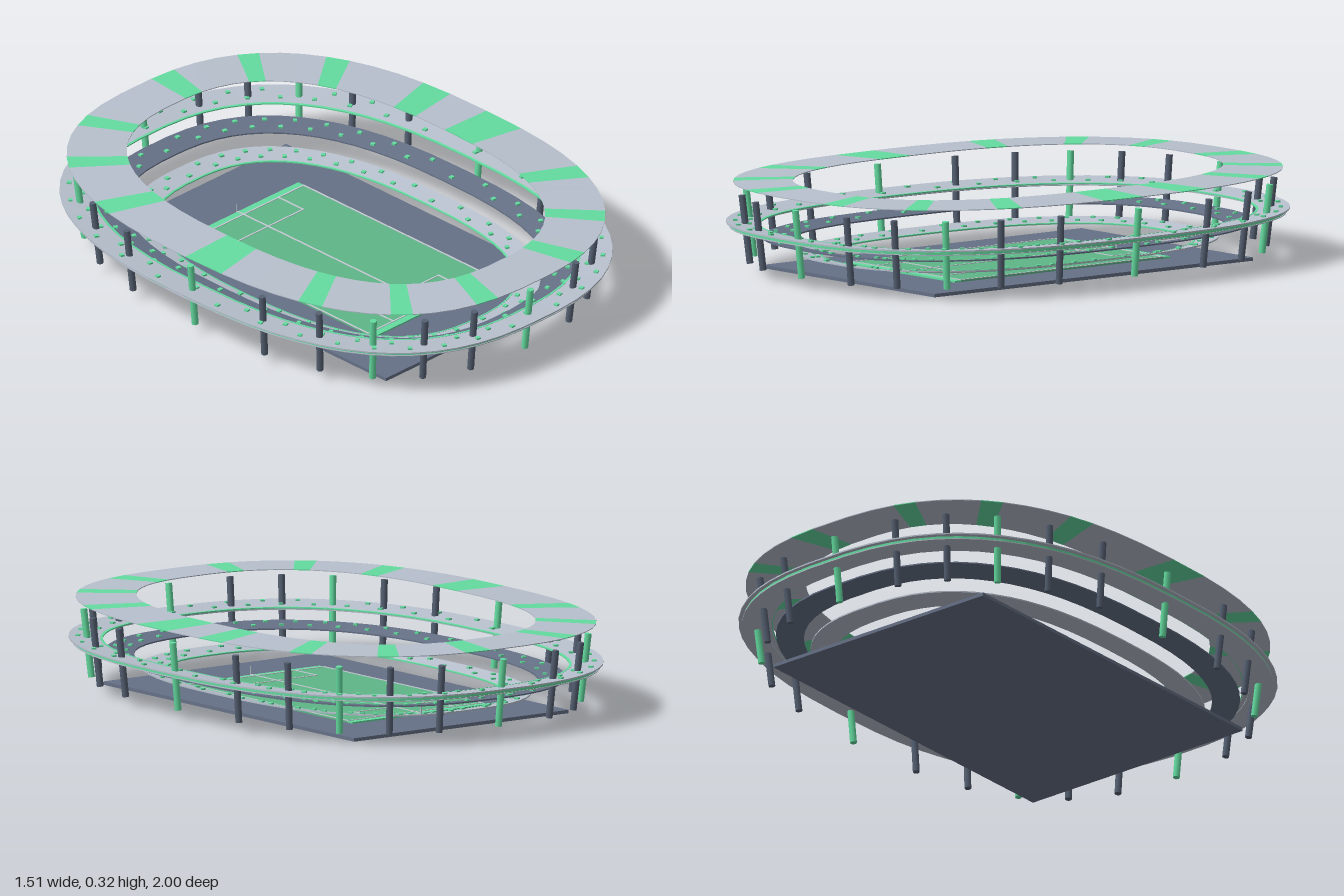
import * as THREE from 'three';

const mat = (name, color) => {
  const m = new THREE.MeshStandardMaterial({ color });
  m.name = name;
  return m;
};

// Point on a rounded oval with half-axes a (x) and b (z)
const oval = (a, b, y, t) => {
  const p = (v) => (Math.abs(v) < 1e-9 ? 0 : Math.sign(v) * Math.abs(v) ** 0.78);
  return new THREE.Vector3(a * p(Math.cos(t)), y, b * p(Math.sin(t)));
};

const SEGMENTS = 58;

// Sweeps a closed section of [a, b, y] points round the oval, keeping chosen segments
function ringGeometry(section, keep = () => true) {
  const pos = [];
  for (let i = 0; i < SEGMENTS; i++) {
    if (!keep(i)) continue;
    const t0 = (i / SEGMENTS) * Math.PI * 2;
    const t1 = ((i + 1) / SEGMENTS) * Math.PI * 2;
    section.forEach((p, j) => {
      const q = section[(j + 1) % section.length];
      const A = oval(...p, t0), B = oval(...q, t0), C = oval(...q, t1), D = oval(...p, t1);
      for (const v of [A, D, C, A, C, B]) pos.push(v.x, v.y, v.z);
    });
  }
  const g = new THREE.BufferGeometry();
  g.setAttribute('position', new THREE.Float32BufferAttribute(pos, 3));
  g.computeVertexNormals();
  return g;
}

// Section of a sloping slab between an inner and an outer oval
const slab = ([ai, bi, yi], [ao, bo, yo], h) => [
  [ai, bi, yi], [ao, bo, yo], [ao, bo, yo - h], [ai, bi, yi - h],
];

export function createModel() {
  const model = new THREE.Group();
  const gray = mat('lightGray', 0xb7c0cd);
  const dark = mat('slate', 0x667187);
  const post = mat('darkSlate', 0x556072);
  const green = mat('brightGreen', 0x64dca0);
  const grass = mat('grass', 0x60b689);
  const white = mat('lineGray', 0xc6ccd4);

  const add = (name, geometry, material, parent = model) => {
    const m = new THREE.Mesh(geometry, material);
    m.name = name;
    parent.add(m);
    return m;
  };
  const box = (name, w, h, d, x, y, z, material, parent) => {
    const m = add(name, new THREE.BoxGeometry(w, h, d), material, parent);
    m.position.set(x, y, z);
    return m;
  };

  // Base and pitch
  box('base', 0.93, 0.012, 1.42, 0, 0.006, 0, dark);
  box('pitch', 0.59, 0.006, 0.9, 0, 0.015, 0, grass);
  for (const s of [1, -1]) box('pitchEnd', 0.59, 0.006, 0.03, 0, 0.015, s * 0.465, green);

  // Pitch markings
  const lines = new THREE.Group();
  lines.name = 'pitchLines';
  model.add(lines);
  const line = (w, d, x, z) => box('line', w, 0.002, d, x, 0.019, z, white, lines);
  line(0.006, 0.96, 0, 0);
  for (const s of [1, -1]) {
    line(0.006, 0.9, s * 0.292, 0);
    line(0.59, 0.006, 0, s * 0.45);
    line(0.345, 0.006, 0, s * 0.33);
    line(0.006, 0.12, 0.17, s * 0.39);
    line(0.006, 0.12, -0.17, s * 0.39);
  }

  // Thin poles at the pitch ends
  for (const s of [1, -1]) box('endPole', 0.003, 0.03, 0.003, 0, 0.03, s * 0.483, white);

  // Seating tiers, each sloping up outwards, with inner trim and rows of seats
  const tiers = [
    { name: 'lowerTier', inner: [0.445, 0.69, 0.06], outer: [0.515, 0.775, 0.073], m: gray },
    { name: 'middleTier', inner: [0.537, 0.797, 0.114], outer: [0.625, 0.89, 0.127], m: dark },
    { name: 'upperTier', inner: [0.645, 0.895, 0.168], outer: [0.755, 1.0, 0.179], m: gray },
  ];
  const seatGeometry = new THREE.BoxGeometry(0.015, 0.006, 0.015);
  for (const { name, inner, outer, m } of tiers) {
    const tier = new THREE.Group();
    tier.name = name;
    model.add(tier);
    const mix = (k, dy = 0) => inner.map((v, i) => v + (outer[i] - v) * k + (i === 2 ? dy : 0));
    add('deck', ringGeometry(slab(inner, outer, 0.005)), m, tier);
    if (m === gray) {
      add('innerTrim', ringGeometry(slab(mix(-0.03, 0.001), mix(0.05, 0.001), 0.004)), green, tier);
    }
    [0.3, 0.72].forEach((k, row) => {
      for (let i = 0; i < 36; i++) {
        const t = ((i + row / 2) / 36) * Math.PI * 2;
        const seat = add('seat', seatGeometry, green, tier);
        seat.position.copy(oval(...mix(k, 0.0035), t));
        seat.rotation.y = -t;
      }
    });
  }

  // Lower rim under the upper tier, with a green band between them
  add('lowerRim', ringGeometry(slab([0.66, 0.91, 0.16], [0.745, 0.99, 0.163], 0.003)), gray);
  add('rimBand', ringGeometry(slab([0.738, 0.983, 0.172], [0.742, 0.987, 0.172], 0.009)), green);

  // Tilted columns, every third one green
  const up = new THREE.Vector3(0, 1, 0);
  for (let i = 0; i < 24; i++) {
    const t = (i / 24) * Math.PI * 2;
    const foot = oval(0.685, 0.92, 0.035, t);
    const head = oval(0.708, 0.948, 0.273, t);
    const dir = head.clone().sub(foot);
    const c = add('column', new THREE.CylinderGeometry(0.012, 0.012, dir.length(), 8), i % 3 ? post : green);
    c.position.copy(foot).add(head).multiplyScalar(0.5);
    c.quaternion.setFromUnitVectors(up, dir.normalize());
  }

  // Roof ring with green panels
  const roof = slab([0.53, 0.79, 0.322], [0.732, 0.977, 0.317], 0.003);
  add('roof', ringGeometry(roof, (i) => i % 4 !== 0), gray);
  add('roofPanels', ringGeometry(roof, (i) => i % 4 === 0), green);

  return model;
}
